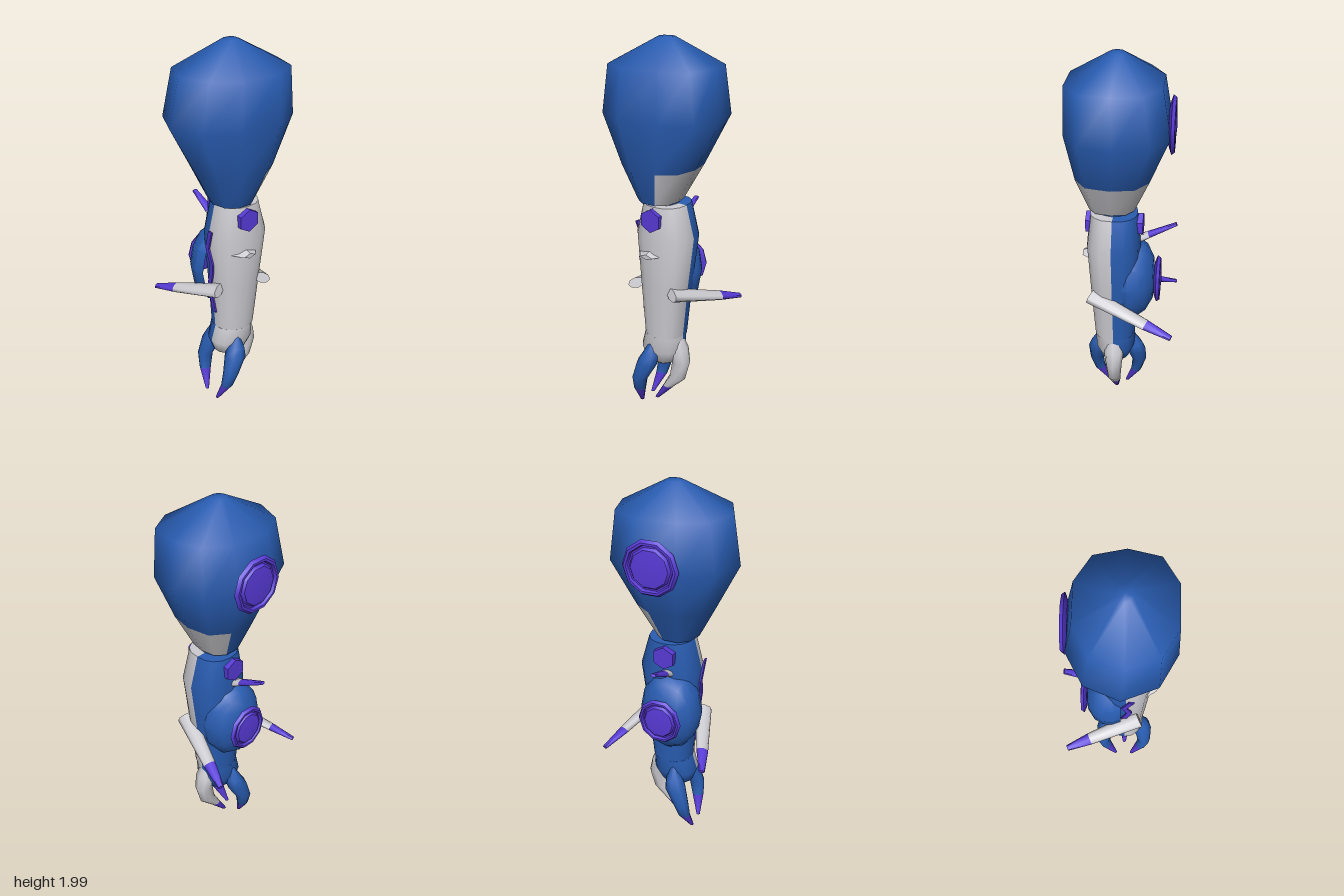
import * as THREE from 'three';
import { toCreasedNormals } from 'three/addons/utils/BufferGeometryUtils.js';

const paint = (name, color) => {
  const m = new THREE.MeshStandardMaterial({ color });
  m.name = name;
  return m;
};

// Skin over level rings [y, cx, cz, rx, rz], listed bottom to top, closed at both ends.
// power < 1 makes the rings boxier, skew moves their sides back;
// pick(j, k) gives the material index of the face above ring j after sample k.
function loft(rings, n, pick, power = 1, skew = 0) {
  const pos = [], buckets = [[], [], []];
  const bulge = (v) => Math.sign(v) * Math.abs(v) ** power;
  const addRing = ([y, cx, cz, rx, rz]) => {
    const start = pos.length / 3;
    for (let k = 0; k < n; k++) {
      const a = (2 * Math.PI * k) / n;
      const s = bulge(Math.sin(a)), c = bulge(Math.cos(a));
      pos.push(cx + rx * s, y, cz + rz * (c - skew * Math.abs(s)));
    }
    return start;
  };
  rings.forEach(addRing);
  const last = rings.length - 1;
  for (let j = 0; j < last; j++) {
    for (let k = 0; k < n; k++) {
      const a = j * n + k, b = j * n + ((k + 1) % n);
      buckets[pick(j, k)].push(a, b, b + n, a, b + n, a + n);
    }
  }
  for (const j of [0, last]) {
    const s = addRing(rings[j]), c = pos.length / 3;
    pos.push(rings[j][1], rings[j][0], rings[j][2]);
    for (let k = 0; k < n; k++) {
      const a = s + k, b = s + ((k + 1) % n);
      buckets[pick(Math.min(j, last - 1), k)].push(...(j ? [a, b, c] : [b, a, c]));
    }
  }
  const geo = new THREE.BufferGeometry();
  geo.setAttribute('position', new THREE.Float32BufferAttribute(pos, 3));
  geo.setIndex(buckets.flat());
  let start = 0;
  buckets.forEach((b, i) => {
    if (b.length) geo.addGroup(start, b.length, i);
    start += b.length;
  });
  geo.computeVertexNormals();
  return geo;
}

export function createModel() {
  const blue = paint('armourBlue', 0x295db2);
  const grey = paint('plateGrey', 0xcdccd1);
  const purple = paint('accentPurple', 0x573ad6);
  const palette = [blue, grey, purple];
  const model = new THREE.Group();
  model.name = 'clawArm';
  const add = (name, geo, mat, parent = model) => {
    const mesh = new THREE.Mesh(geo, mat);
    mesh.name = name;
    parent.add(mesh);
    return mesh;
  };

  // Shoulder: ten-sided bulb with a grey plate low at the back
  add('shoulder', loft([
    [1.2, 0.058, -0.003, 0.118, 0.105],
    [1.38, 0.05, -0.006, 0.19, 0.198],
    [1.63, 0.022, -0.002, 0.264, 0.318],
    [1.87, 0.037, -0.012, 0.238, 0.283],
    [1.998, 0.03, -0.02, 0.036, 0.042],
    [2.0, 0.03, -0.02, 0.002, 0.002],
  ], 10, (j, k) => (j === 0 && k >= 3 && k <= 6 ? 1 : 0), 0.86, 0.07), palette);

  // Elbow joint between shoulder and forearm
  add('elbow', new THREE.CylinderGeometry(0.08, 0.08, 0.06, 12), blue).position.set(0.05, 1.19, -0.02);

  // Forearm and palm: blue on the right half, grey on the left half
  const halves = (n) => (j, k) => (k < n / 2 ? 1 : 0);
  add('forearm', loft([
    [0.46, 0.045, -0.028, 0.107, 0.108],
    [0.75, 0.047, -0.032, 0.124, 0.133],
    [1.02, 0.047, -0.038, 0.138, 0.16],
    [1.19, 0.045, -0.035, 0.12, 0.116],
  ], 16, halves(16), 0.88, 0.05), palette);
  add('palm', loft([
    [0.265, 0.045, -0.01, 0.03, 0.03],
    [0.3, 0.045, -0.01, 0.077, 0.09],
    [0.37, 0.045, -0.015, 0.105, 0.12],
    [0.46, 0.045, -0.028, 0.107, 0.108],
  ], 16, halves(16), 0.93), palette);

  // Claws: two blue ones in front, one grey behind, all with purple tips
  for (const s of [1, -1]) {
    const rings = [
      [0.01, 0.05, 0.1, 0.01, 0.01],
      [0.12, 0.105, 0.075, 0.029, 0.035],
      [0.2, 0.121, 0.062, 0.038, 0.045],
      [0.3, 0.107, 0.022, 0.053, 0.06],
      [0.35, 0.095, 0.01, 0.048, 0.045],
      [0.43, 0.075, 0.0, 0.02, 0.012],
    ].map(([y, dx, ...rest]) => [y, 0.041 + s * dx, ...rest]);
    add(s > 0 ? 'leftClaw' : 'rightClaw', loft(rings, 8, (j) => (j === 0 ? 2 : 0)), palette);
  }
  add('backClaw', loft([
    [0.025, 0.045, 0.03, 0.011, 0.012],
    [0.125, 0.045, -0.045, 0.028, 0.03],
    [0.2, 0.045, -0.103, 0.036, 0.048],
    [0.3, 0.045, -0.126, 0.045, 0.052],
    [0.38, 0.045, -0.11, 0.055, 0.052],
    [0.45, 0.045, -0.095, 0.035, 0.035],
  ], 8, (j) => (j === 0 ? 2 : 1)), palette);

  // Spikes: tapered grey rods, wider than they are thick, ending in purple tips
  const rod = (name, a, b, ra, rb, mat, parent) => {
    const dir = b.clone().sub(a);
    const mesh = add(name, toCreasedNormals(new THREE.CylinderGeometry(rb, ra, dir.length(), 8), 0.9), mat, parent);
    mesh.position.copy(a).lerp(b, 0.5);
    mesh.quaternion.setFromUnitVectors(new THREE.Vector3(0, 1, 0), dir.normalize());
    mesh.scale.set(0.8, 1, 1.35);
  };
  const spike = (name, base, tip, split, radii) => {
    const g = new THREE.Group();
    g.name = name;
    model.add(g);
    const a = new THREE.Vector3(...base), c = new THREE.Vector3(...tip);
    const b = a.clone().lerp(c, split);
    rod('spikeShaft', a, b, radii[0], radii[1], grey, g);
    rod('spikeTip', b, c, radii[1], radii[2], purple, g);
  };
  spike('frontSpike', [0.12, 0.73, 0.108], [-0.268, 0.615, 0.25], 0.68, [0.035, 0.024, 0.012]);
  spike('backSpike', [0.16, 0.74, -0.14], [-0.268, 0.615, -0.295], 0.69, [0.035, 0.024, 0.012]);
  spike('upperSpike', [-0.06, 1.02, -0.015], [-0.268, 1.12, -0.01], 0.34, [0.026, 0.02, 0.011]);

  // Hexagonal elbow bolts standing on a corner
  for (const x of [-0.084, 0.17]) {
    const hex = new THREE.CylinderGeometry(0.061, 0.061, 0.036, 6, 1, false, Math.PI / 6);
    const bolt = add('elbowBolt', toCreasedNormals(hex, 0.5), purple);
    bolt.rotation.z = Math.PI / 2;
    bolt.position.set(x, 1.122, -0.03);
  }

  // Round parts turned about the sideways axis, facing right
  const turned = (name, profile, sides, mat, pos, sy, sz) => {
    const geo = new THREE.LatheGeometry(profile.map((p) => new THREE.Vector2(...p)), sides);
    const mesh = add(name, toCreasedNormals(geo, 0.7), mat);
    mesh.rotation.z = Math.PI / 2;
    mesh.scale.set(sy, 1, sz);
    mesh.position.set(...pos);
  };
  turned('forearmPad', [[0.21, -0.03], [0.233, 0.02], [0.222, 0.07], [0.19, 0.11], [0.12, 0.145], [0, 0.155]],
    12, blue, [-0.01, 0.795, -0.01], 1, 0.71);
  const disc = [[0, 0], [0.1, 0], [0.142, 0.014], [0.13, 0.03], [0.118, 0.03], [0.112, 0.016], [0.104, 0.016], [0.094, 0.03], [0, 0.038]];
  turned('shoulderDisc', disc, 10, purple, [-0.218, 1.66, -0.032], 1, 1);
  turned('forearmDisc', disc, 10, purple, [-0.162, 0.795, -0.02], 0.89, 0.82);

  // Zigzag stripe down the front of the forearm
  const edge = [[0.062, 1.06], [0.025, 0.95], [0.052, 0.86], [0.042, 0.8], [0.022, 0.73], [0.028, 0.66], [0.046, 0.565]];
  const outline = [...edge, ...edge.map(([x, y]) => [x + 0.028, y]).reverse()];
  const stripe = new THREE.ExtrudeGeometry(new THREE.Shape(outline.map((p) => new THREE.Vector2(...p))),
    { depth: 0.009, bevelEnabled: false });
  const p = stripe.attributes.position;
  for (let i = 0; i < p.count; i++) p.setZ(i, p.getZ(i) + 0.09 + (p.getY(i) - 0.57) * 0.07);
  stripe.computeVertexNormals();
  add('zigzagStripe', stripe, purple);

  // Small blunt fin on the left side
  const fin = add('sideFin', toCreasedNormals(new THREE.CylinderGeometry(0.4, 1, 1, 4), 0.5), grey);
  fin.rotation.z = -Math.PI / 2;
  fin.scale.set(0.034, 0.075, 0.09);
  fin.position.set(0.172, 0.935, -0.02);

  return model;
}
